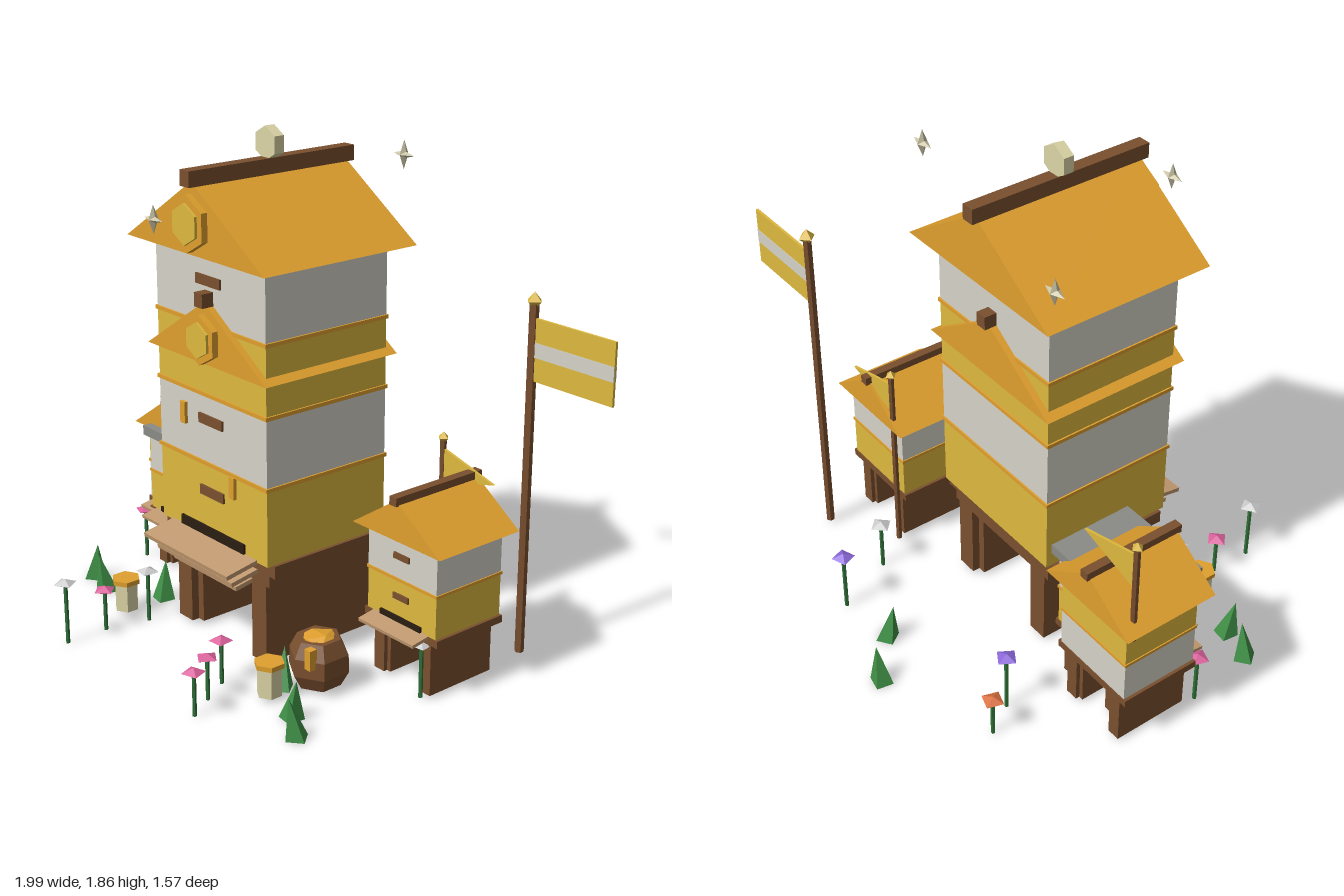
import * as THREE from 'three';

const COLORS = {
  yellow: 0xddb83f, white: 0xd6d4c8, orange: 0xe0a02e, brown: 0x7a4f2e, dark: 0x2a1d12, tan: 0xc29a70,
  grey: 0x8a8a86, cream: 0xddd6a8, sparkle: 0xc9c2a4, green: 0x3f8f46, stem: 0x2f7038,
  pink: 0xd9609a, purple: 0x8a66d8, coral: 0xd9703f, petal: 0xdcdcd8,
};
const mats = {};
const mat = (c) => (mats[c] ??= new THREE.MeshStandardMaterial({ color: COLORS[c], flatShading: true }));

function add(parent, name, geo, color, x = 0, y = 0, z = 0) {
  const mesh = new THREE.Mesh(geo, mat(color));
  mesh.name = name;
  mesh.position.set(x, y, z);
  parent.add(mesh);
  return mesh;
}

function group(parent, name, x = 0, y = 0, z = 0) {
  const g = new THREE.Group();
  g.name = name;
  g.position.set(x, y, z);
  parent.add(g);
  return g;
}

// Box given by width, depth and its bottom and top heights
const slab = (parent, name, color, w, d, y0, y1, x = 0, z = 0) =>
  add(parent, name, new THREE.BoxGeometry(w, y1 - y0, d), color, x, (y0 + y1) / 2, z);

// Flat outline extruded along z, centred on its own depth
function plate(points, depth, hole) {
  const shape = new THREE.Shape(points.map(([x, y]) => new THREE.Vector2(x, y)));
  if (hole) shape.holes.push(new THREE.Path(hole.map(([x, y]) => new THREE.Vector2(x, y))));
  return new THREE.ExtrudeGeometry(shape, { depth, bevelEnabled: false }).translate(0, 0, -depth / 2);
}

const hexagon = (r) => Array.from({ length: 6 }, (_, i) => {
  const a = (i + 0.5) * Math.PI / 3;
  return [r * Math.cos(a), r * Math.sin(a)];
});

// Gable roof with a ridge beam
function gable(parent, half, depth, y0, y1, ridgeW, ridgeTop, ridgeDepth) {
  add(parent, 'roof', plate([[-half, y0], [half, y0], [0, y1]], depth), 'orange');
  slab(parent, 'ridgeBeam', 'brown', ridgeW, ridgeDepth, y1 - 0.015, ridgeTop);
}

// Hexagonal gable ornament: raised ring around a comb cell
function combBadge(parent, y, z, r) {
  add(parent, 'badgeRing', plate(hexagon(r), 0.025, hexagon(r * 0.72)), 'orange', 0, y, z + 0.012);
  add(parent, 'badgeCell', plate(hexagon(r * 0.72), 0.035), 'yellow', 0, y, z + 0.017);
}

function mainHive(root) {
  const hive = group(root, 'mainHive', -0.127, 0, 0.07);
  const front = 0.2675;
  const levels = [0.41, 0.695, 0.952, 1.208, 1.465];
  for (let i = 0; i < 4; i++) {
    slab(hive, 'hiveBox', i % 2 ? 'white' : 'yellow', 0.61, 0.535, levels[i], levels[i + 1]);
    slab(hive, 'trimBand', 'orange', 0.622, 0.547, levels[i + 1] - 0.007, levels[i + 1] + 0.007);
  }
  gable(hive, 0.335, 0.585, 1.075, 1.295, 0.045, 1.33, 0.63);
  gable(hive, 0.382, 0.667, 1.465, 1.715, 0.05, 1.755, 0.72);
  combBadge(hive, 1.165, 0.2925, 0.09);
  combBadge(hive, 1.575, 0.3335, 0.1);
  add(hive, 'roofFinial', plate(hexagon(0.06), 0.04), 'cream', 0, 1.803, 0);

  // Front details
  for (const y of [0.59, 0.86, 1.365]) slab(hive, 'handSlot', 'brown', 0.135, 0.016, y - 0.018, y + 0.018, 0, front);
  for (const [x, y] of [[-0.155, 0.855], [0.122, 0.65]])
    slab(hive, 'honeyDrip', 'orange', 0.028, 0.026, y - 0.04, y + 0.04, x, front);
  slab(hive, 'entrance', 'dark', 0.365, 0.02, 0.42, 0.455, 0, front);

  // Sloping landing board with two smaller steps below
  [[0.245, 0.4, 0.325, 0.15], [0.22, 0.352, 0.295, 0.13], [0.185, 0.308, 0.265, 0.1]].forEach(([half, y, z, d], i) => {
    const board = add(hive, 'landingBoard', new THREE.BoxGeometry(half * 2, 0.016, d), i ? 'brown' : 'tan', 0, y, z);
    if (i) board.material = mat('tan');
    board.rotation.x = 0.17;
  });

  // Stand
  slab(hive, 'standTop', 'brown', 0.635, 0.49, 0.363, 0.412);
  slab(hive, 'standBeam', 'brown', 0.56, 0.48, 0.315, 0.365);
  slab(hive, 'standCrossbeam', 'brown', 0.43, 0.44, 0.285, 0.318);
  for (const s of [-1, 1]) {
    slab(hive, 'standLeg', 'brown', 0.08, 0.48, 0.015, 0.318, s * 0.22);
    slab(hive, 'standLegInner', 'brown', 0.032, 0.42, 0.015, 0.318, s * 0.166);
  }
}

// Small two-box hive on slab legs; flatLid swaps the gable for a grey cover
function smallHive(root, name, x, z, lower, upper, flatLid) {
  const hive = group(root, name, x, 0, z);
  const top = flatLid ? 0.542 : 0.56;
  slab(hive, 'lowerBox', lower, 0.337, 0.305, 0.235, 0.397);
  slab(hive, 'upperBox', upper, 0.337, 0.305, 0.397, top);
  slab(hive, 'trimBand', 'orange', 0.345, 0.313, 0.392, 0.403);
  if (flatLid) slab(hive, 'flatCover', 'grey', 0.39, 0.335, 0.54, 0.578);
  else gable(hive, 0.214, 0.375, 0.557, 0.702, 0.034, 0.718, 0.402);
  for (const y of [0.335, 0.485]) slab(hive, 'handSlot', 'brown', 0.075, 0.014, y - 0.011, y + 0.011, 0, 0.1525);
  slab(hive, 'entrance', 'dark', 0.2, 0.016, 0.242, 0.262, 0, 0.1525);
  const board = add(hive, 'landingBoard', new THREE.BoxGeometry(0.272, 0.012, 0.08), 'tan', 0, 0.232, 0.187);
  board.rotation.x = 0.15;
  slab(hive, 'standTop', 'brown', 0.36, 0.312, 0.213, 0.24);
  for (const s of [-1, 1]) {
    slab(hive, 'standLeg', 'brown', 0.05, 0.29, 0.015, 0.215, s * 0.115);
    slab(hive, 'standLegInner', 'brown', 0.02, 0.26, 0.015, 0.215, s * 0.083);
  }
}

function pole(root, name, x, z, y0, y1, r) {
  const g = group(root, name, x, 0, z);
  add(g, 'pole', new THREE.CylinderGeometry(r, r, y1 - y0, 6), 'brown', 0, (y0 + y1) / 2);
  add(g, 'poleKnob', new THREE.OctahedronGeometry(r * 1.85), 'yellow', 0, y1);
  return g;
}

// Four-pointed star, flat outline swelling to a point front and back
function sparkle(root, x, y, z) {
  const pos = [];
  const rim = Array.from({ length: 8 }, (_, i) => {
    const r = i % 2 ? 0.014 : 0.05, a = i * Math.PI / 4;
    return [r * Math.cos(a), r * Math.sin(a), 0];
  });
  rim.forEach((p, i) => {
    const q = rim[(i + 1) % 8];
    pos.push(...p, ...q, 0, 0, 0.02, ...q, ...p, 0, 0, -0.02);
  });
  const geo = new THREE.BufferGeometry();
  geo.setAttribute('position', new THREE.Float32BufferAttribute(pos, 3));
  geo.computeVertexNormals();
  add(root, 'sparkle', geo, 'sparkle', x, y, z);
}

function flower(root, color, x, z, h, i) {
  const g = group(root, 'flower', x, 0, z);
  add(g, 'stem', new THREE.CylinderGeometry(0.008, 0.008, h, 5), 'stem', 0, h / 2);
  const head = add(g, 'blossom', new THREE.OctahedronGeometry(0.043), color, 0, h);
  head.scale.y = 0.4;
  head.rotation.y = i * 0.9;
}

export function createModel() {
  const root = new THREE.Group();
  root.name = 'hiveVillage';

  mainHive(root);
  smallHive(root, 'rightHive', 0.53, -0.115, 'yellow', 'white', false);
  smallHive(root, 'leftBackHive', -0.78, -0.115, 'white', 'yellow', false);
  smallHive(root, 'leftFrontHive', -0.69, -0.057, 'yellow', 'white', true);

  // Striped banner
  const banner = pole(root, 'bannerPole', 0.64, -0.443, 0.015, 1.32, 0.017);
  slab(banner, 'bannerCloth', 'yellow', 0.345, 0.01, 1.04, 1.262, 0.187);
  slab(banner, 'bannerStripe', 'white', 0.345, 0.013, 1.125, 1.178, 0.187);

  // Pennants
  const left = pole(root, 'leftPennantPole', -0.945, -0.24, 0.5, 0.9, 0.012);
  add(left, 'pennant', plate([[0.01, 0.73], [0.255, 0.8], [0.01, 0.867]], 0.01), 'yellow');
  const right = pole(root, 'rightPennantPole', 0.385, -0.287, 0.015, 0.797, 0.012);
  add(right, 'pennant', plate([[0.01, 0.635], [0.25, 0.695], [0.01, 0.757]], 0.01), 'yellow');

  sparkle(root, 0.25, 1.785, -0.2);
  sparkle(root, -0.485, 1.6, -0.22);
  sparkle(root, -0.165, 1.6, 0.53);

  // Honey pot
  const pot = group(root, 'honeyPot', 0.347, 0, 0.25);
  const profile = [[0, 0.015], [0.08, 0.015], [0.11, 0.07], [0.108, 0.135], [0.08, 0.19], [0, 0.19]];
  add(pot, 'potBody', new THREE.LatheGeometry(profile.map(([r, y]) => new THREE.Vector2(r, y)), 6), 'brown');
  const honey = add(pot, 'honey', new THREE.IcosahedronGeometry(0.07), 'orange', 0, 0.182);
  honey.scale.y = 0.35;
  slab(pot, 'honeyDrip', 'orange', 0.03, 0.03, 0.11, 0.185, 0.05, 0.08);

  // Jars
  for (const x of [-0.555, 0.305]) {
    const jar = group(root, 'jar', x, 0, 0.435);
    add(jar, 'jarBody', new THREE.CylinderGeometry(0.046, 0.046, 0.108, 6), 'cream', 0, 0.069);
    add(jar, 'jarLid', new THREE.CylinderGeometry(0.055, 0.055, 0.018, 6), 'orange', 0, 0.131);
  }

  [['pink', -0.48, 0.58, 0.16], ['pink', 0.12, 0.5, 0.165], ['pink', 0.18, 0.605, 0.16], ['pink', 0.24, 0.705, 0.163],
    ['pink', -0.925, 0.085, 0.2], ['petal', -0.48, 0.745, 0.238], ['petal', -0.44, 0.415, 0.2],
    ['petal', 0.305, -0.415, 0.2], ['petal', 0.635, 0.04, 0.2], ['purple', -0.56, -0.465, 0.238],
    ['purple', 0.2, -0.645, 0.24], ['coral', -0.63, -0.575, 0.16],
  ].forEach(([c, x, z, h], i) => flower(root, c, x, z, h, i));

  // Grass tufts, each leaning a little
  [[-0.2, -0.75], [-0.03, -0.615], [-0.555, 0.265], [-0.885, 0.36], [-0.755, 0.39], [0.28, 0.36],
    [0.46, 0.465], [0.57, 0.535]].forEach(([x, z], i) => {
    const geo = new THREE.ConeGeometry(0.045, 0.148, 4).rotateY(i * 0.8 + 0.6).translate(0, 0.074, 0);
    const p = geo.attributes.position;
    for (let k = 0; k < p.count; k++) {
      p.setX(k, p.getX(k) + p.getY(k) * 0.18 * Math.cos(i * 2.1));
      p.setZ(k, p.getZ(k) + p.getY(k) * 0.18 * Math.sin(i * 2.1));
    }
    add(root, 'grassTuft', geo, 'green', x, 0, z);
  });

  return root;
}
